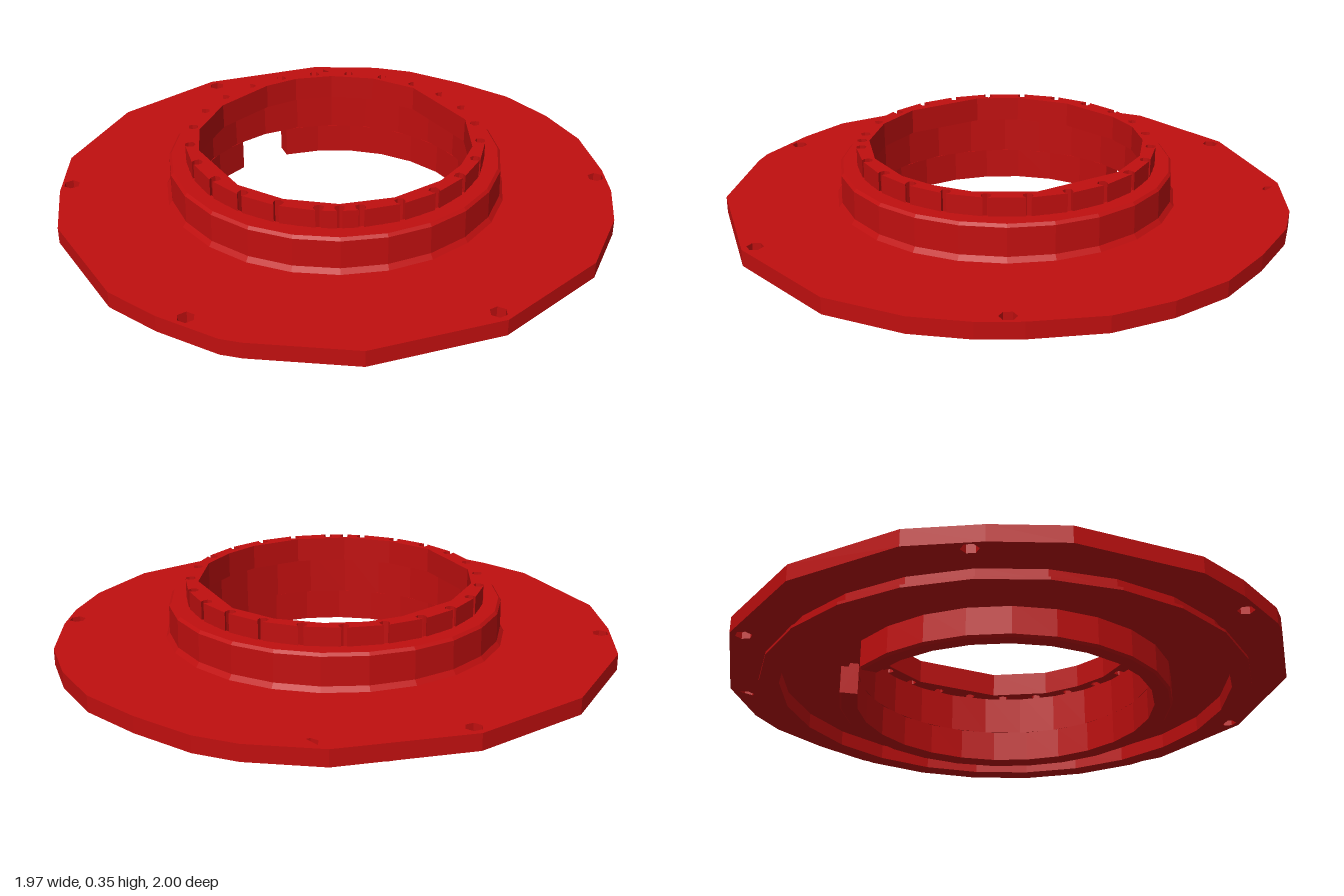
import * as THREE from 'three';

const red = new THREE.MeshStandardMaterial({ color: 0xc00f0f, flatShading: true });

// polar point on the ground plane, angle measured from +z toward +x
const polar = (r, a) => [r * Math.sin(a), r * Math.cos(a)];
const toVec = ([x, z]) => new THREE.Vector2(x, -z);

function named(name, geometry) {
  const mesh = new THREE.Mesh(geometry, red);
  mesh.name = name;
  return mesh;
}

// flat slab from an [x, z] outline and hole outlines, between two heights
function slab(name, outline, holes, y0, y1) {
  const shape = new THREE.Shape(outline.map(toVec));
  shape.holes = holes.map(h => new THREE.Path(h.map(toVec)));
  const g = new THREE.ExtrudeGeometry(shape, { depth: y1 - y0, bevelEnabled: false });
  g.rotateX(-Math.PI / 2).translate(0, y0, 0);
  return named(name, g);
}

function polygon(r, n, cx = 0, cz = 0) {
  return Array.from({ length: n }, (_, i) => {
    const [x, z] = polar(r, (i / n) * Math.PI * 2);
    return [cx + x, cz + z];
  });
}

// closed [radius, height] profile turned about the axis
function ring(name, profile, sides, start = 0, sweep = Math.PI * 2) {
  const pts = [...profile, profile[0]].map(([r, y]) => new THREE.Vector2(r, y));
  return named(name, new THREE.LatheGeometry(pts, sides, start, sweep));
}

export function createModel() {
  const model = new THREE.Group();
  model.name = 'flangedRing';

  // wide faceted flange with bolt holes
  const flangeOutline = [
    [-0.06, -1], [0.2, -0.985], [0.35, -0.94], [0.55, -0.82], [0.73, -0.68], [0.86, -0.5],
    [0.95, -0.3], [0.985, -0.05], [0.985, 0.1], [0.95, 0.3], [0.83, 0.56], [0.5, 0.86],
    [0.06, 1], [-0.3, 0.95], [-0.37, 0.93], [-0.57, 0.81], [-0.73, 0.68], [-0.95, 0.3],
    [-0.985, 0.05], [-0.985, -0.2], [-0.82, -0.58], [-0.5, -0.86],
  ];
  const bolts = [[0, -0.96], [0.475, -0.82], [-0.475, -0.82], [0.95, 0], [-0.95, 0],
    [0.475, 0.82], [-0.475, 0.82]];
  const boltHoles = bolts.map(([x, z]) => polygon(0.029, 6, x, z));
  model.add(slab('flange', flangeOutline, [polygon(0.57, 24), ...boltHoles], 0.105, 0.163));

  // stepped rim hanging under the flange
  model.add(ring('lowerRim', [
    [0.8, 0.05], [0.87, 0.05], [0.87, 0.06], [0.835, 0.066], [0.835, 0.11], [0.8, 0.11],
  ], 24));

  // collar wall with a small fillet at the flange and a chamfered top
  model.add(ring('collar', [
    [0.528, 0.12], [0.592, 0.12], [0.592, 0.16], [0.607, 0.163], [0.594, 0.18],
    [0.592, 0.28], [0.583, 0.29], [0.528, 0.29],
  ], 24));

  // bottom of the collar, open at one notch
  const notch = 3.68, half = 0.19;
  const skirtStart = notch + half, skirtSweep = Math.PI * 2 - 2 * half;
  model.add(ring('collarSkirt', [
    [0.528, 0.005], [0.584, 0], [0.592, 0.008], [0.592, 0.12], [0.528, 0.12],
  ], 24, skirtStart, skirtSweep));
  // cheeks closing the two sides of the notch
  for (const side of [-1, 1]) {
    const a = notch + side * half;
    const cheek = named('notchCheek', new THREE.BoxGeometry(0.004, 0.115, 0.062));
    cheek.position.set(0.56 * Math.sin(a), 0.0625, 0.56 * Math.cos(a));
    cheek.rotation.y = a;
    model.add(cheek);
  }

  // top lip: every screw hole breaks through the outer side as a groove
  const angles = [0];
  for (let i = 0; i < 24; i++) angles.push(((i + 0.5) / 24) * Math.PI * 2);
  angles.sort((a, b) => a - b);
  const groove = [[0.53, -0.009], [0.518, -0.016], [0.502, -0.016], [0.494, 0],
    [0.502, 0.016], [0.518, 0.016], [0.53, 0.009]];
  const lipOutline = angles.flatMap(a => groove.map(([r, t]) => polar(r, a + t / r)));
  const bore = [
    [-0.14, -0.465], [0, -0.488], [0.16, -0.46], [0.31, -0.37], [0.475, -0.1], [0.475, 0.11],
    [0.42, 0.24], [0.34, 0.345], [0.18, 0.45], [0, 0.487], [-0.18, 0.45], [-0.33, 0.355],
    [-0.475, 0.11], [-0.483, -0.05], [-0.41, -0.24], [-0.25, -0.405],
  ];
  model.add(slab('topLip', lipOutline, [bore], 0.265, 0.355));

  return model;
}
